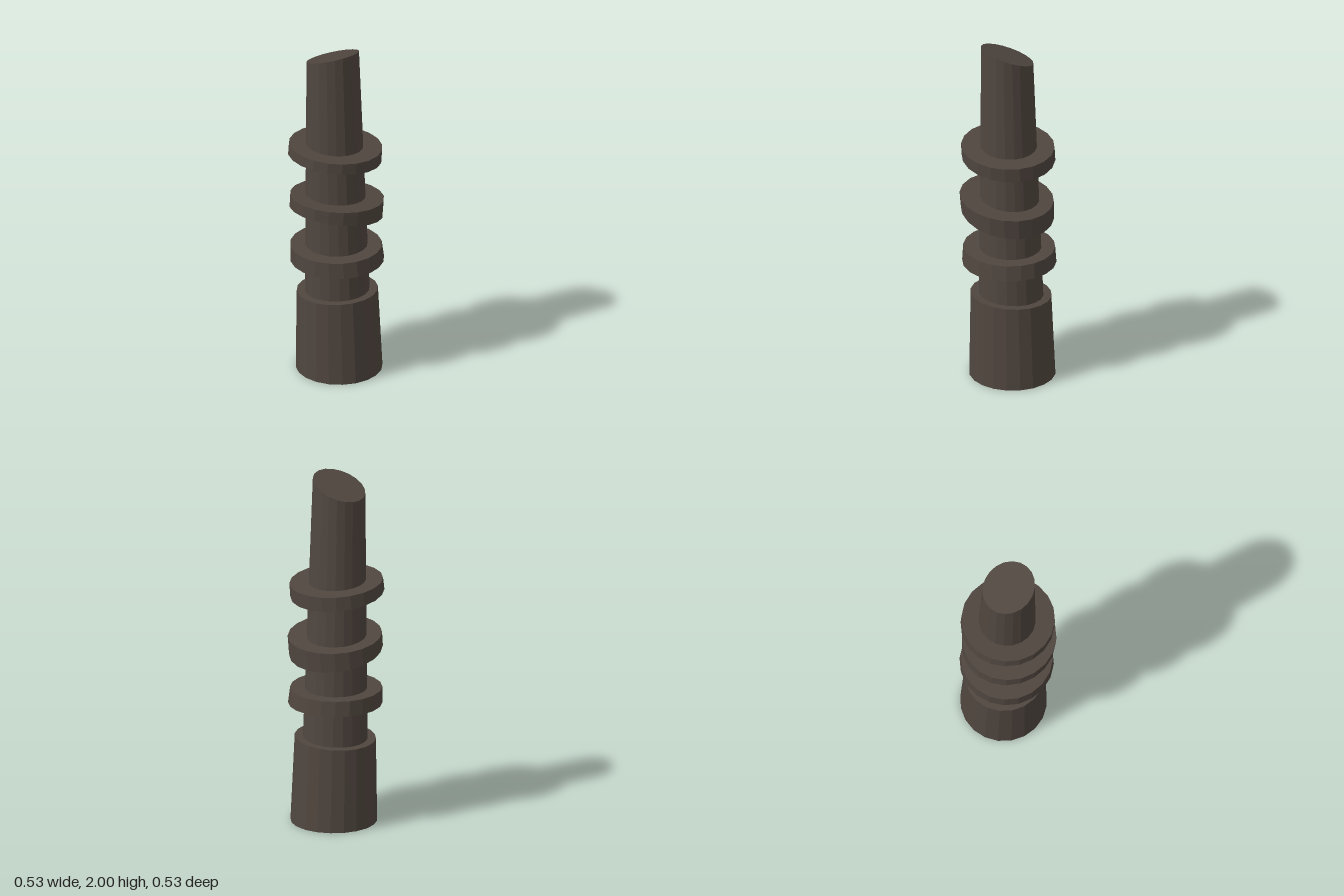
import * as THREE from 'three';

const SIDES = 20;

// A section is a round outline on a tilted plane: centre x, y, z, radius, slope along x, slope along z
function sectionPoint([x, y, z, r, sx = 0, sz = 0], i, offset) {
  const a = offset + (i / SIDES) * Math.PI * 2;
  const dx = Math.cos(a) * r, dz = Math.sin(a) * r;
  return [x + dx, y + dx * sx + dz * sz, z + dz];
}

// Faceted skin through the sections, from bottom to top, with optional end caps
function loft(sections, { capBottom = true, capTop = true, offset = 0 } = {}) {
  const pos = [];
  const tri = (a, b, c) => pos.push(...a, ...b, ...c);
  for (let i = 0; i < SIDES; i++) {
    for (let s = 0; s < sections.length - 1; s++) {
      const a = sectionPoint(sections[s], i, offset), b = sectionPoint(sections[s], i + 1, offset);
      const c = sectionPoint(sections[s + 1], i + 1, offset), d = sectionPoint(sections[s + 1], i, offset);
      tri(a, d, c);
      tri(a, c, b);
    }
    const first = sections[0], last = sections[sections.length - 1];
    if (capBottom) tri(first.slice(0, 3), sectionPoint(first, i, offset), sectionPoint(first, i + 1, offset));
    if (capTop) tri(last.slice(0, 3), sectionPoint(last, i + 1, offset), sectionPoint(last, i, offset));
  }
  const geometry = new THREE.BufferGeometry();
  geometry.setAttribute('position', new THREE.Float32BufferAttribute(pos, 3));
  geometry.computeVertexNormals();
  return geometry;
}

export function createModel() {
  const group = new THREE.Group();
  const darkBrown = new THREE.MeshStandardMaterial({
    name: 'darkBrown', color: 0x50463f, flatShading: true, side: THREE.DoubleSide,
  });
  const add = (name, geometry) => {
    const mesh = new THREE.Mesh(geometry, darkBrown);
    mesh.name = name;
    group.add(mesh);
  };
  const deg = THREE.MathUtils.degToRad;

  // Wide base sleeve, open underneath
  add('baseSleeve', loft([
    [0.015, 0, -0.025, 0.241],
    [0.005, 0.484, -0.015, 0.226, 0.033, 0.044],
  ], { capBottom: false, offset: deg(13) }));

  // Leaning, tapering shaft with a slanted cut at the top
  add('shaft', loft([
    [0.005, 0.484, -0.016, 0.18, 0.033, 0.044],
    [-0.02, 1.943, 0.012, 0.146, 0.24, 0.31],
  ], { capBottom: false, offset: deg(13) }));

  // Three collars, each tilted a little differently
  const collars = {
    lowerCollar: [[0.004, 0.68, -0.005, 0.262], [-0.002, 0.77, -0.003, 0.256, -0.005, 0.01]],
    middleCollar: [[-0.002, 0.982, 0.007, 0.26, -0.13, 0.15], [0.004, 1.075, 0.01, 0.262, -0.06, 0.1]],
    upperCollar: [[-0.009, 1.318, 0.003, 0.261, -0.1, 0.07], [-0.003, 1.39, 0.005, 0.26, -0.07, 0.04]],
  };
  for (const [name, sections] of Object.entries(collars)) {
    add(name, loft(sections, { offset: deg(9) }));
  }
  return group;
}
